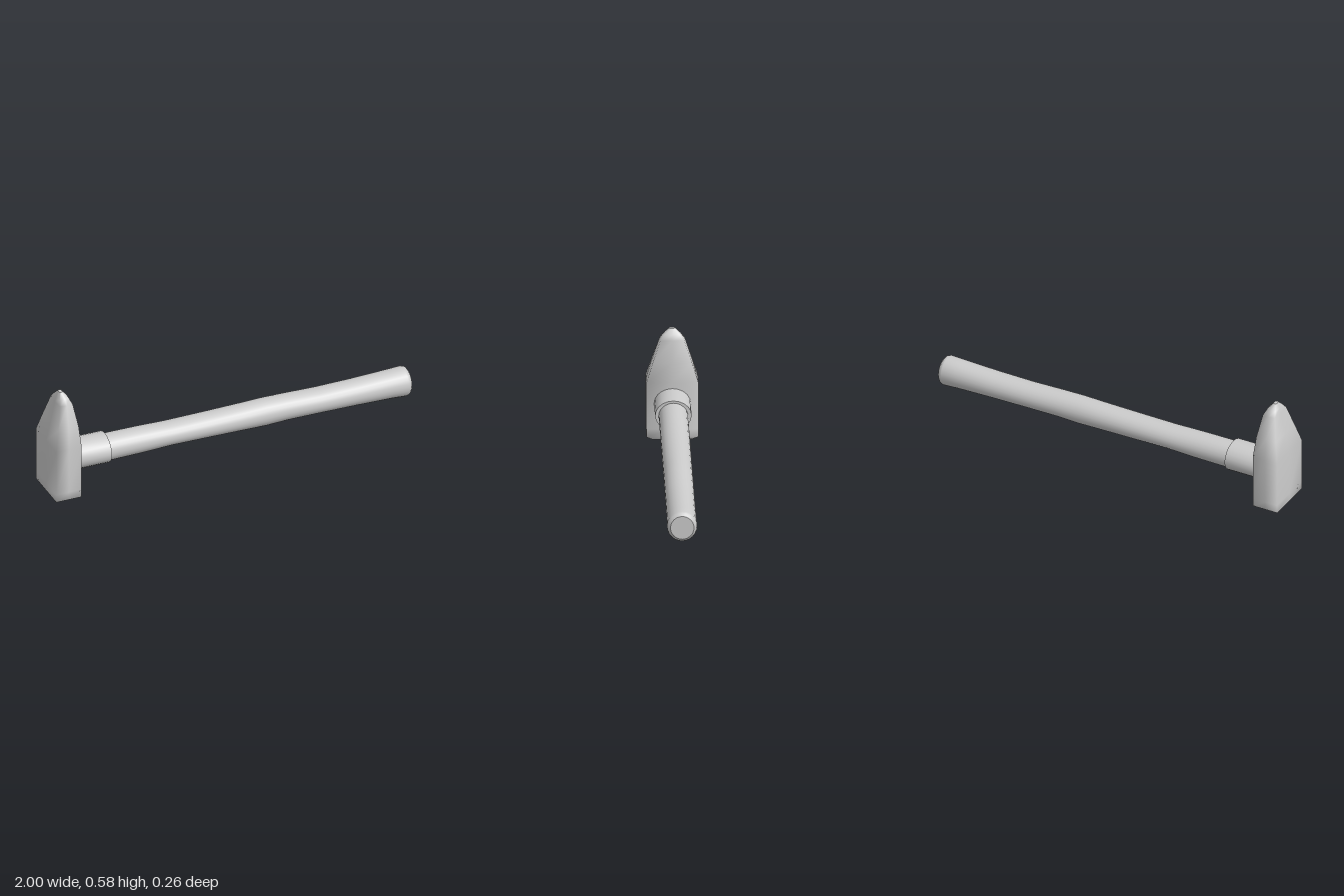
import * as THREE from 'three';

const material = new THREE.MeshStandardMaterial({ color: 0xcccccc });

// Skin a list of closed rings (counter-clockwise about the loft direction), with crisp flat caps
function loft(name, rings) {
  const n = rings[0].length;
  const pos = [], index = [];
  rings.forEach(r => r.forEach(p => pos.push(...p)));
  for (let i = 0; i < rings.length - 1; i++) {
    for (let j = 0; j < n; j++) {
      const k = (j + 1) % n;
      const a = i * n + j, b = i * n + k, c = b + n, d = a + n;
      index.push(a, b, c, a, c, d);
    }
  }
  [rings[0], rings[rings.length - 1]].forEach((ring, end) => {
    const base = pos.length / 3;
    ring.forEach(p => pos.push(...p));
    for (let j = 1; j < n - 1; j++) {
      if (end) index.push(base, base + j, base + j + 1);
      else index.push(base, base + j + 1, base + j);
    }
  });
  const geo = new THREE.BufferGeometry();
  geo.setAttribute('position', new THREE.Float32BufferAttribute(pos, 3));
  geo.setIndex(index);
  geo.computeVertexNormals();
  const mesh = new THREE.Mesh(geo, material);
  mesh.name = name;
  return mesh;
}

// Elliptical ring across the handle axis
function ellipse(x, bottom, top, rz, n) {
  const cy = (bottom + top) / 2, ry = (top - bottom) / 2;
  return Array.from({ length: n }, (_, i) => {
    const a = (i / n) * Math.PI * 2;
    return [x, cy + ry * Math.cos(a), rz * Math.sin(a)];
  });
}

// Rectangular ring with side midpoints; k < 1 pulls the corners in to round it
function block(y, x0, x1, hz, k) {
  const cx = (x0 + x1) / 2, hx = (x1 - x0) / 2;
  return [[0, 1], [k, k], [1, 0], [k, -k], [0, -1], [-k, -k], [-1, 0], [-k, k]]
    .map(([u, v]) => [cx + u * hx, y, v * hz]);
}

export function createModel() {
  const group = new THREE.Group();
  group.name = 'hammer';

  // Head: square striking face below, tapering to a blunt peen above
  group.add(loft('head', [
    [0, -0.99, -0.872, 0.1, 1],
    [0.016, -1, -0.862, 0.132, 1],
    [0.06, -1, -0.86, 0.132, 1],
    [0.31, -1, -0.86, 0.132, 1],
    [0.415, -0.977, -0.861, 0.103, 0.97],
    [0.53, -0.952, -0.876, 0.066, 0.92],
    [0.557, -0.944, -0.888, 0.046, 0.88],
    [0.585, -0.932, -0.912, 0.015, 0.85],
  ].map(s => block(...s))));

  // Collar where the handle meets the head
  group.add(loft('collar', [
    ellipse(-0.9, 0.12, 0.278, 0.093, 20),
    ellipse(-0.675, 0.12, 0.278, 0.093, 20),
  ]));

  // Handle: gently waved grip with a rounded butt
  group.add(loft('handle', [
    [-0.88, 0.125, 0.266, 0.075],
    [-0.675, 0.125, 0.266, 0.075],
    [-0.5, 0.128, 0.265, 0.075],
    [-0.32, 0.136, 0.26, 0.075],
    [-0.1, 0.133, 0.263, 0.075],
    [0.08, 0.13, 0.267, 0.075],
    [0.2, 0.127, 0.271, 0.075],
    [0.32, 0.133, 0.269, 0.075],
    [0.5, 0.133, 0.264, 0.075],
    [0.7, 0.13, 0.267, 0.075],
    [0.9, 0.124, 0.275, 0.076],
    [0.975, 0.119, 0.279, 0.077],
    [0.99, 0.124, 0.274, 0.072],
    [1, 0.137, 0.26, 0.06],
  ].map(([x, b, t, rz]) => ellipse(x, b, t, rz, 24))));

  return group;
}
